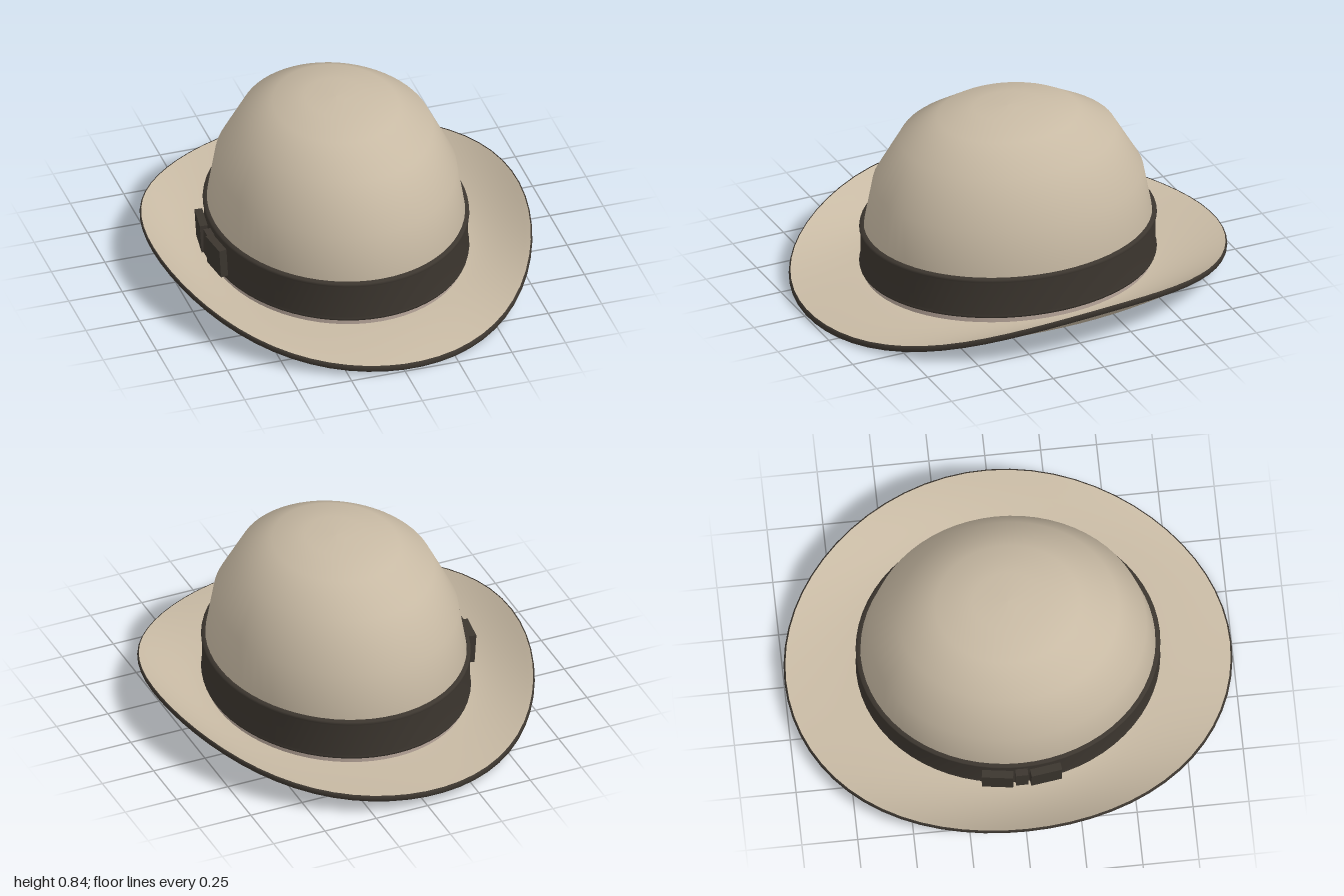
import * as THREE from 'three';
import { mergeVertices } from 'three/addons/utils/BufferGeometryUtils.js';

const OVAL = 1.163; // front-to-back stretch of the whole hat
const INNER = 0.563, OUTER = 0.86, HALF = 0.012; // brim radii and half thickness

const material = (name, color) =>
  new THREE.MeshStandardMaterial({ name, color, side: THREE.DoubleSide });

// Lathe around y, stretched to an oval, with optional height rule
function ovalLathe(name, points, mat, lift) {
  let g = new THREE.LatheGeometry(points.map(p => new THREE.Vector2(p[0], p[1])), 64);
  if (lift) {
    const pos = g.attributes.position;
    for (let i = 0; i < pos.count; i++) {
      pos.setY(i, pos.getY(i) + lift(pos.getX(i), pos.getZ(i)));
    }
    g.deleteAttribute('uv');
    g.deleteAttribute('normal');
    g = mergeVertices(g);
  }
  g.scale(1, 1, OVAL);
  if (lift) g.computeVertexNormals();
  const mesh = new THREE.Mesh(g, mat);
  mesh.name = name;
  return mesh;
}

// Brim height: flat at the crown, curling up at the sides
function brimHeight(x, z) {
  const a = Math.atan2(x, z);
  const t = Math.min(1.03, Math.max(0, (Math.hypot(x, z) - INNER) / (OUTER - INNER)));
  const rim = 0.108 - 0.02 * Math.cos(a) - 0.08 * Math.cos(2 * a)
    - 0.02 * Math.sin(2 * a) + 0.012 * Math.cos(4 * a);
  return 0.045 + (rim - 0.045) * Math.pow(t, 1.8);
}

export function createModel() {
  const hat = new THREE.Group();
  hat.name = 'hat';
  const felt = material('tan felt', 0xc8baa4);
  const ribbon = material('dark ribbon', 0x3c362f);
  const baseFelt = material('rosy base felt', 0xb9a79b);

  // Crown, open underneath
  hat.add(ovalLathe('crown', [
    [0.563, 0.04], [0.565, 0.28], [0.531, 0.49], [0.425, 0.7],
    [0.278, 0.8], [0.137, 0.835], [0, 0.84],
  ], felt));
  hat.add(ovalLathe('crownBase', [[0.57, 0.04], [0.57, 0.095]], baseFelt));

  // Brim: underside, bound edge and top
  const steps = 12;
  const under = [], top = [], edge = [];
  for (let i = 0; i <= steps; i++) {
    const r = INNER + (OUTER - 0.006 - INNER) * i / steps;
    under.push([r, -HALF]);
    top.unshift([r, HALF]);
  }
  for (let i = 0; i <= 6; i++) {
    const a = -Math.PI / 2 + Math.PI * i / 6;
    edge.push([OUTER - 0.007 + 0.007 * Math.cos(a), (HALF + 0.003) * Math.sin(a)]);
  }
  hat.add(ovalLathe('brimUnderside', under, felt, brimHeight));
  hat.add(ovalLathe('brimTop', top, felt, brimHeight));
  hat.add(ovalLathe('brimBinding', edge, ribbon, brimHeight));

  // Ribbon band with thin raised borders
  hat.add(ovalLathe('ribbonBand', [
    [0.567, 0.085], [0.582, 0.085], [0.584, 0.095], [0.579, 0.102],
    [0.579, 0.258], [0.584, 0.265], [0.582, 0.277], [0.566, 0.28],
  ], ribbon));

  // Flat bow on the side: two loops and a knot
  const bow = new THREE.Group();
  bow.name = 'bow';
  for (const s of [-1, 1]) {
    const loop = new THREE.Mesh(new THREE.BoxGeometry(0.035, 0.14, 0.14), ribbon);
    loop.name = s > 0 ? 'bowFrontLoop' : 'bowBackLoop';
    loop.position.set(-0.592, 0.178, s * 0.108);
    loop.rotation.set(0, s * 0.14, 0.06);
    bow.add(loop);
  }
  const knot = new THREE.Mesh(new THREE.BoxGeometry(0.034, 0.12, 0.055), ribbon);
  knot.name = 'bowKnot';
  knot.position.set(-0.594, 0.178, 0);
  bow.add(knot);
  hat.add(bow);

  return hat;
}
